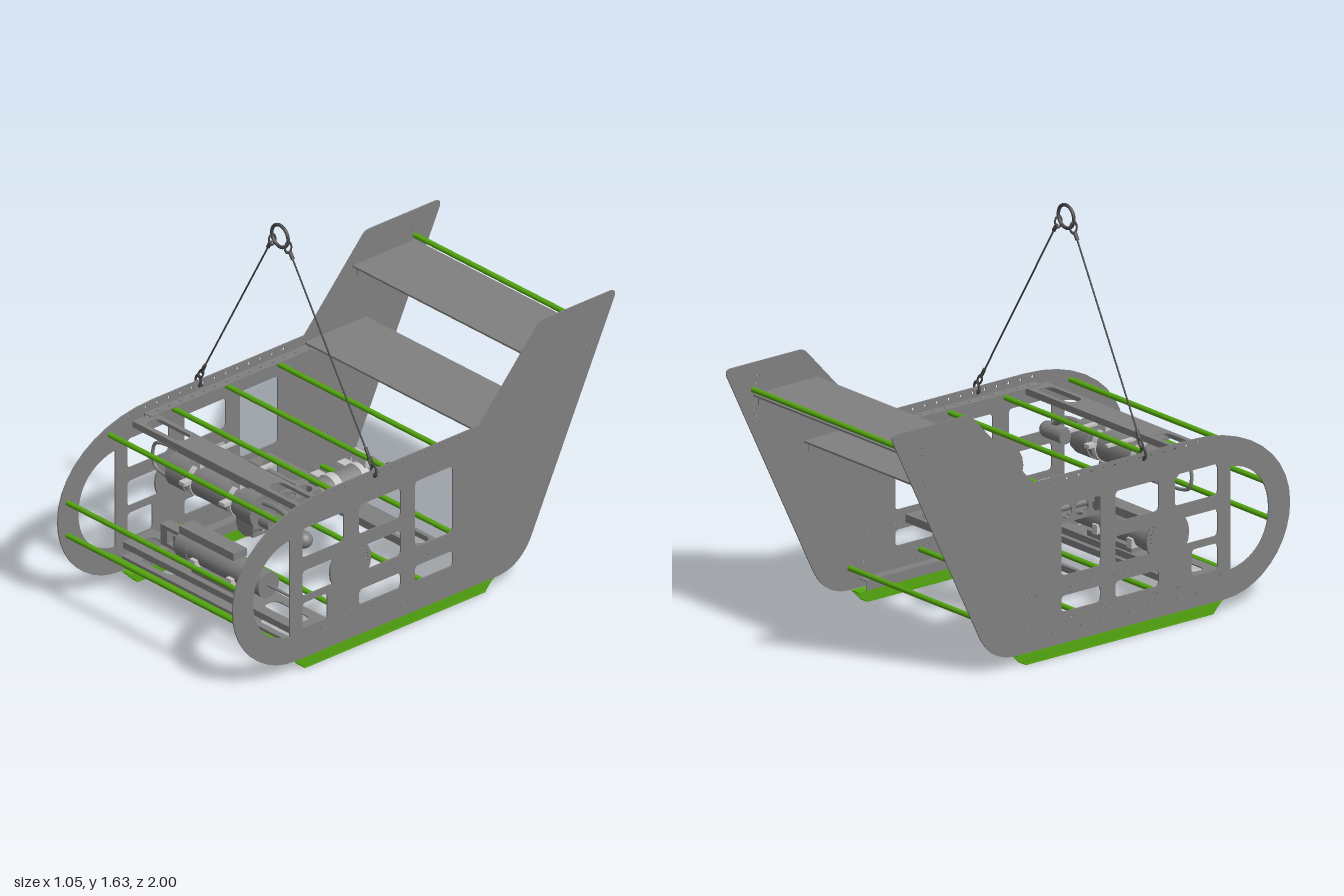
import * as THREE from 'three';

const CX = 0.005, HALF = 0.505, T = 0.006;

export function createModel() {
  const root = new THREE.Group();
  root.name = 'towedSurveyFrame';
  const mat = (name, color) => {
    const m = new THREE.MeshStandardMaterial({ color });
    m.name = name;
    return m;
  };
  const grey = mat('frame grey', 0x808080);
  const green = mat('rod green', 0x55a810);
  const dark = mat('rope dark grey', 0x484848);
  const light = mat('clamp light grey', 0xc4c4c4);

  const add = (name, geo, m, x = 0, y = 0, z = 0) => {
    const mesh = new THREE.Mesh(geo, m);
    mesh.name = name;
    mesh.position.set(x, y, z);
    root.add(mesh);
    return mesh;
  };
  // box given by its extents
  const box = (name, m, x0, x1, y0, y1, z0, z1) =>
    add(name, new THREE.BoxGeometry(x1 - x0, y1 - y0, z1 - z0), m, (x0 + x1) / 2, (y0 + y1) / 2, (z0 + z1) / 2);
  // round bar between two points
  const rod = (name, m, a, b, r, sides = 12) => {
    const p = new THREE.Vector3(...a), q = new THREE.Vector3(...b), d = q.clone().sub(p);
    const mesh = add(name, new THREE.CylinderGeometry(r, r, d.length(), sides), m);
    mesh.position.copy(p).add(q).multiplyScalar(0.5);
    mesh.quaternion.setFromUnitVectors(new THREE.Vector3(0, 1, 0), d.normalize());
    return mesh;
  };
  const tube = (name, m, pts, r) => add(name, new THREE.TubeGeometry(
    new THREE.CatmullRomCurve3(pts.map(p => new THREE.Vector3(...p))), 40, r, 10), m);
  const roundRect = (x0, x1, y0, y1, r) => {
    const p = new THREE.Path();
    p.moveTo(x0 + r, y0);
    p.lineTo(x1 - r, y0); p.quadraticCurveTo(x1, y0, x1, y0 + r);
    p.lineTo(x1, y1 - r); p.quadraticCurveTo(x1, y1, x1 - r, y1);
    p.lineTo(x0 + r, y1); p.quadraticCurveTo(x0, y1, x0, y1 - r);
    p.lineTo(x0, y0 + r); p.quadraticCurveTo(x0, y0, x0 + r, y0);
    return p;
  };
  const circle = (x, y, r) => new THREE.Path().absarc(x, y, r, 0, Math.PI * 2);
  const extrude = (shape, depth, seg = 10) =>
    new THREE.ExtrudeGeometry(shape, { depth, bevelEnabled: false, curveSegments: seg });

  // side plate outline, drawn with u = -z
  const plate = new THREE.Shape();
  plate.moveTo(-0.67, 0.05);
  plate.lineTo(0.38, 0.05);
  plate.bezierCurveTo(0.47, 0.05, 0.53, 0.1, 0.565, 0.175);
  plate.lineTo(0.995, 1.06);
  plate.quadraticCurveTo(1.005, 1.09, 0.975, 1.09);
  plate.lineTo(0.63, 1.09);
  plate.quadraticCurveTo(0.61, 1.09, 0.595, 1.075);
  plate.lineTo(0.29, 0.742);
  plate.lineTo(-0.5, 0.742);
  plate.bezierCurveTo(-0.8, 0.742, -1, 0.58, -1, 0.38);
  plate.bezierCurveTo(-1, 0.2, -0.85, 0.05, -0.67, 0.05);
  const nose = new THREE.Path();
  nose.moveTo(-0.7, 0.165);
  nose.lineTo(-0.7, 0.59);
  nose.bezierCurveTo(-0.82, 0.575, -0.893, 0.49, -0.893, 0.378);
  nose.bezierCurveTo(-0.893, 0.265, -0.82, 0.18, -0.7, 0.165);
  plate.holes.push(nose);
  for (const [a, b, c, d] of [
    [-0.636, -0.42, 0.487, 0.615], [-0.34, -0.122, 0.487, 0.615], [-0.048, 0.15, 0.326, 0.615],
    [-0.636, -0.42, 0.32, 0.43], [-0.34, -0.122, 0.32, 0.43],
    [-0.636, -0.505, 0.18, 0.29], [-0.34, -0.122, 0.178, 0.245], [-0.048, 0.15, 0.178, 0.245],
  ]) plate.holes.push(roundRect(a, b, c, d, 0.02));
  // rows of bolt holes
  for (const [y, z0, z1, n, r] of [[0.722, 0.54, -0.18, 13, 0.006], [0.637, 0.6, -0.2, 14, 0.004],
    [0.272, 0.2, -0.45, 16, 0.004], [0.15, 0.65, -0.36, 20, 0.004], [0.105, 0.62, -0.2, 18, 0.004]])
    for (let i = 0; i < n; i++) plate.holes.push(circle(-(z0 + (z1 - z0) * i / (n - 1)), y, r));
  for (let i = 0; i < 8; i++)
    plate.holes.push(circle(0.84 + 0.018 * Math.sin(i / 7 * Math.PI), 1.03 - i * 0.027, 0.004));
  const plateGeo = extrude(plate, T).rotateY(Math.PI / 2);

  // round cover disc with curved slots
  const disc = new THREE.Shape().absarc(-0.385, 0.37, 0.107, 0, Math.PI * 2);
  for (const a of [-0.1, 2.2 + Math.PI / 2]) for (let i = 0; i < 6; i++) {
    const t = a + i * 0.18;
    disc.holes.push(circle(-0.385 + 0.088 * Math.cos(t), 0.37 + 0.088 * Math.sin(t), 0.005));
  }
  const discGeo = extrude(disc, T + 0.002).rotateY(Math.PI / 2);

  // skid side profile
  const skid = new THREE.Shape([[-0.665, 0.047], [-0.62, 0], [0.325, 0], [0.37, 0.047]].map(p => new THREE.Vector2(...p)));
  const skidGeo = extrude(skid, 0.004).rotateY(Math.PI / 2);

  for (const s of [-1, 1]) {
    const X = CX + s * HALF, inner = w => [X, X - s * w].sort((a, b) => a - b);
    add('sidePlate', plateGeo, grey, X - T / 2);
    add('coverDisc', discGeo, grey, X - T / 2 - 0.001);
    // hollow skid below the plate
    for (const k of [0.006, 0.043]) add('skidWall', skidGeo, green, X - s * k - 0.002);
    box('skidSole', green, ...inner(0.045), 0, 0.004, -0.325, 0.62);
    box('skidTop', green, ...inner(0.045), 0.043, 0.047, -0.368, 0.663);
    // lower and upper angle rails
    box('lowerRailWall', grey, X - s * 0.043 - 0.002, X - s * 0.043 + 0.002, 0.047, 0.087, -0.33, 0.62);
    box('lowerRailTop', grey, ...inner(0.045), 0.084, 0.088, -0.33, 0.62);
    const flange = new THREE.Shape(roundRect(0, 0.045, -0.55, 0.29, 0.004).getPoints());
    for (let i = 0; i < 13; i++) flange.holes.push(circle(0.024, -0.5 + i * 0.06, 0.006));
    add('upperRailFlange', extrude(flange, 0.004, 6).rotateX(-Math.PI / 2), grey, inner(0.045)[0], 0.696, 0);
    box('upperRailWeb', grey, ...inner(0.007), 0.625, 0.7, -0.28, 0.55);
    // fin blade brackets
    for (const [y, z] of [[0.953, -0.7], [0.706, -0.45]]) {
      box('bladeBracket', grey, ...inner(0.045), y - 0.006, y, z - 0.14, z + 0.14);
      box('bladeBracketWeb', grey, ...inner(0.008), y - 0.04, y, z - 0.14, z + 0.14);
    }
    // lifting shackle and rope
    const shackle = add('shackle', new THREE.TorusGeometry(0.015, 0.005, 8, 20), dark, X + s * 0.002, 0.738, 0.262);
    shackle.scale.y = 1.5;
    rod('shacklePin', dark, [X - 0.018, 0.724, 0.262], [X + 0.018, 0.724, 0.262], 0.006);
    const eye = add('ropeEye', new THREE.TorusGeometry(0.011, 0.004, 8, 16), dark, X - s * 0.015, 0.775, 0.264);
    eye.scale.y = 1.8;
    eye.rotation.z = s * 0.52;
    const low = [X - s * 0.02, 0.785, 0.265], high = [s * 0.055 - 0.005, 1.525, 0.283];
    rod('liftRope', dark, low, high, 0.0035, 8);
    rod('ropeSleeve', dark, low, [X - s * 0.042, 0.825, 0.266], 0.007);
    rod('ropeSleeve', dark, [s * 0.072 - 0.005, 1.497, 0.282], high, 0.008);
    const hook = add('ringHook', new THREE.TorusGeometry(0.014, 0.004, 8, 16), dark, s * 0.046 - 0.005, 1.54, 0.284);
    hook.rotation.y = Math.PI / 2.5;
    hook.scale.y = 1.6;
  }
  add('liftRing', new THREE.TorusGeometry(0.047, 0.007, 12, 40), dark, -0.005, 1.573, 0.285);

  // green cross rods as [y, z]
  for (const [y, z] of [[0.448, 0.95], [0.305, 0.95], [0.668, 0.73], [0.668, 0.4], [0.668, 0.12], [0.668, -0.15],
    [0.14, 0.73], [0.14, 0.365], [0.14, -0.027], [0.14, -0.38], [0.98, -0.865]])
    rod('crossRod', green, [CX - HALF, y, z], [CX + HALF, y, z], 0.011);

  // tail blades
  box('upperBlade', grey, CX - HALF, CX + HALF, 0.953, 0.961, -0.865, -0.54);
  box('lowerBlade', grey, CX - HALF, CX + HALF, 0.706, 0.714, -0.61, -0.29);

  // slotted cross channels: a flat web with two flanges
  const channel = (y, z0, z1, h) => {
    const s = new THREE.Shape(roundRect(-0.5, 0.51, -z1, -z0, 0.002).getPoints());
    const m = (z0 + z1) / 2;
    for (const x of [-0.35, 0.36]) s.holes.push(roundRect(x - 0.105, x + 0.105, -m - 0.034, -m + 0.034, 0.033));
    add('crossChannelWeb', extrude(s, 0.005).rotateX(-Math.PI / 2), grey, 0, y, 0);
    for (const z of [z0, z1 - 0.005]) box('crossChannelFlange', grey, -0.5, 0.51, y - h, y + 0.003, z, z + 0.005);
  };
  channel(0.68, 0.5, 0.61, 0.022);
  channel(0.17, 0.5, 0.66, 0.022);
  channel(0.11, 0.54, 0.665, 0.022);
  channel(0.295, -0.1, 0.005, 0.028);

  // upper instrument housing with clamps, handle and bent outlet
  const UY = 0.555, UZ = 0.565;
  rod('upperHousing', grey, [-0.27, UY, UZ], [0.21, UY, UZ], 0.068, 32);
  for (const [a, b] of [[-0.277, -0.18], [0.12, 0.215]]) rod('upperHousingCap', grey, [a, UY, UZ], [b, UY, UZ], 0.075, 32);
  rod('upperHousingNeck', grey, [0.215, 0.52, UZ], [0.272, 0.52, UZ], 0.034, 20);
  for (const x of [-0.148, 0.083]) {
    rod('upperStrap', light, [x - 0.012, UY, UZ], [x + 0.012, UY, UZ], 0.072, 32);
    box('upperClampLug', light, x - 0.016, x + 0.016, 0.56, 0.575, 0.46, 0.67);
    box('upperClampArm', light, x - 0.01, x + 0.01, 0.645, 0.655, 0.37, 0.51);
    box('upperHanger', light, x - 0.03, x + 0.03, 0.62, 0.665, 0.53, 0.6);
  }
  box('upperMountPlate', grey, -0.24, 0.175, 0.65, 0.662, 0.52, 0.61);
  tube('loopHandle', grey, [[-0.27, 0.622, UZ], [-0.36, 0.622, UZ], [-0.415, 0.605, UZ], [-0.43, 0.555, UZ],
    [-0.415, 0.505, UZ], [-0.36, 0.488, UZ], [-0.27, 0.488, UZ]], 0.007);
  tube('bentOutlet', grey, [[0.205, 0.59, UZ], [0.29, 0.595, UZ], [0.36, 0.58, UZ], [0.42, 0.535, UZ]], 0.013);
  rod('outletBody', grey, [0.335, 0.518, UZ], [0.445, 0.518, UZ], 0.034, 20);
  add('outletEnd', new THREE.SphereGeometry(0.034, 20, 12), grey, 0.445, 0.518, UZ);

  // lower instrument housing
  const LY = 0.242, LZ = 0.57;
  rod('lowerHousing', grey, [-0.235, LY, LZ], [0.245, LY, LZ], 0.054, 32);
  rod('lowerHousingCap', grey, [-0.24, LY, LZ], [-0.17, LY, LZ], 0.058, 32);
  rod('lowerProbe', grey, [0.245, LY, LZ], [0.37, LY, LZ], 0.006);
  box('lowerTopBox', grey, -0.235, 0.08, 0.295, 0.328, 0.535, 0.605);
  for (const y of [0.207, 0.28]) box('lowerGuardBar', grey, -0.35, -0.23, y - 0.008, y + 0.008, 0.545, 0.595);
  box('lowerGuardEnd', grey, -0.352, -0.315, 0.2, 0.288, 0.545, 0.595);
  box('lowerGuardBlock', grey, -0.285, -0.23, 0.215, 0.26, 0.55, 0.59);
  box('lowerBasePlate', grey, -0.13, 0.14, 0.176, 0.2, 0.51, 0.635);
  for (const x of [-0.12, 0.09]) box('lowerClamp', light, x - 0.015, x + 0.015, 0.195, 0.235, 0.505, 0.64);

  // rear housing lying fore and aft
  const RY = 0.38;
  rod('rearHousing', grey, [0, RY, -0.205], [0, RY, 0.115], 0.055, 32);
  rod('rearConnector', dark, [0, RY, -0.285], [0, RY, -0.2], 0.005);
  for (const z of [-0.115, 0.025]) {
    rod('rearStrap', light, [0, RY, z - 0.018], [0, RY, z + 0.018], 0.06, 28);
    for (const y of [0.36, 0.41]) box('rearClampLug', light, -0.095, 0.095, y - 0.007, y + 0.007, z - 0.022, z + 0.022);
    box('rearClampFoot', light, -0.05, 0.05, 0.298, 0.34, z - 0.018, z + 0.018);
  }
  box('rearClampPost', light, -0.04, 0.04, 0.43, 0.485, -0.14, -0.122);

  // perforated sensor cage ahead of the rear housing
  const cage = new THREE.Shape(roundRect(0.115, 0.47, -0.045, 0.045, 0.004).getPoints());
  for (let i = 0; i < 4; i++) cage.holes.push(circle(0.165 + i * 0.084, 0, 0.033));
  const cageGeo = extrude(cage, 0.005, 16).rotateY(-Math.PI / 2);
  for (let i = 0; i < 4; i++) {
    const side = new THREE.Group();
    side.name = 'sensorCageSide';
    side.position.y = RY;
    side.rotation.z = i * Math.PI / 2;
    const wall = new THREE.Mesh(cageGeo, grey);
    wall.position.x = 0.045;
    side.add(wall);
    root.add(side);
  }
  rod('sensorCore', grey, [0, RY, 0.11], [0, RY, 0.46], 0.014, 16);
  rod('sensorHead', grey, [0, RY, 0.42], [0, RY, 0.475], 0.05, 28);
  return root;
}
